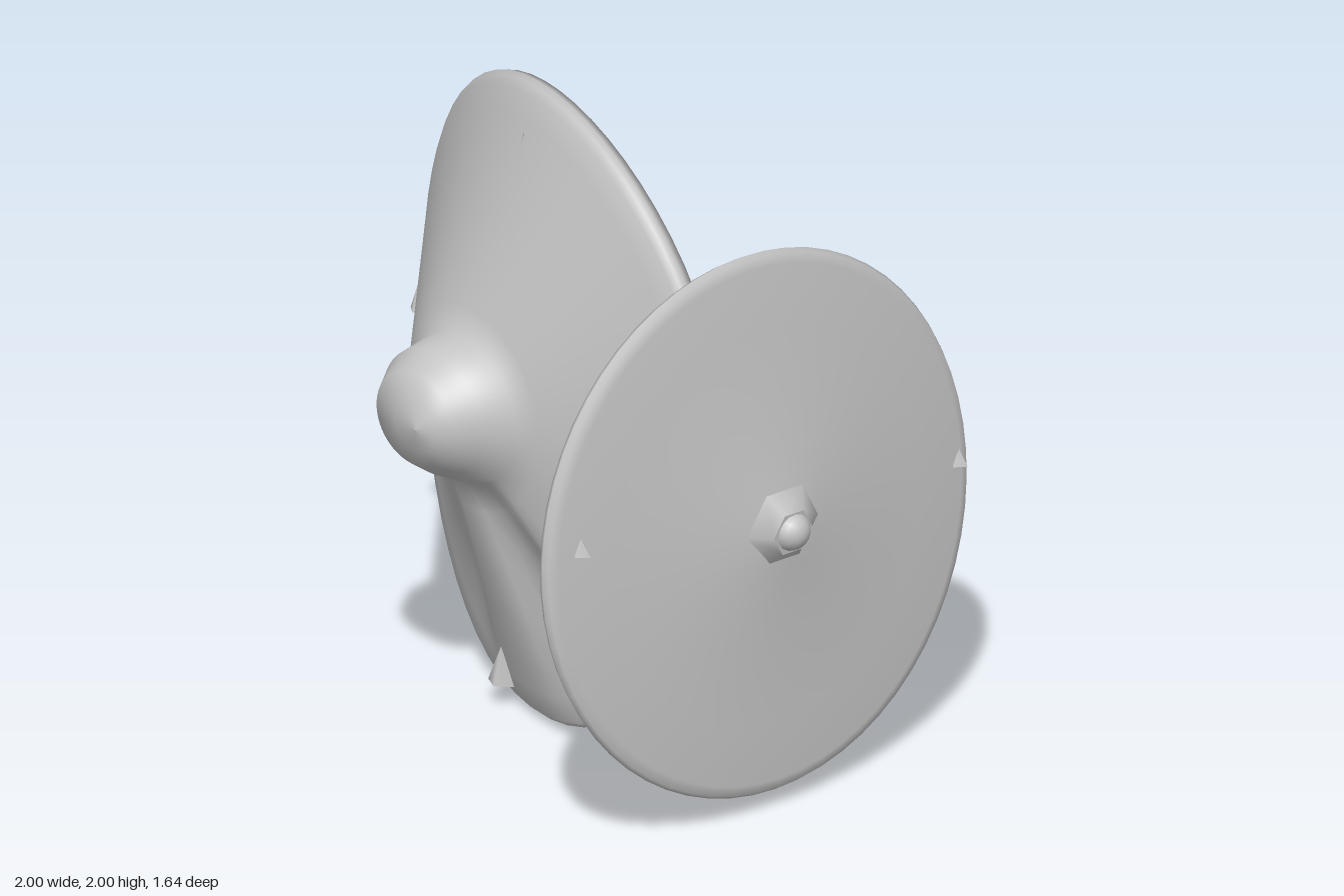
import * as THREE from 'three';

const SIDES = 60;

// Joins rings of points, from the front tip round the rim to the middle of the back
function loft(rings, point) {
  const pos = [], idx = [];
  rings.forEach((ring, i) => {
    for (let j = 0; j < SIDES; j++) {
      const a = (j / SIDES) * Math.PI * 2;
      pos.push(...point(ring, Math.cos(a), Math.sin(a), a));
      if (i === rings.length - 1) continue;
      const k = (j + 1) % SIDES, r0 = i * SIDES, r1 = r0 + SIDES;
      idx.push(r0 + j, r1 + j, r1 + k, r0 + j, r1 + k, r0 + k);
    }
  });
  const g = new THREE.BufferGeometry();
  g.setAttribute('position', new THREE.Float32BufferAttribute(pos, 3));
  g.setIndex(idx);
  g.computeVertexNormals();
  return g;
}

// How far a direction lies inside the hollows between the ribs, from 0 to 1
function hollow(angle) {
  const deg = THREE.MathUtils.radToDeg(angle);
  const within = (from, to) => THREE.MathUtils.smoothstep(deg, from, from + 14)
    * (1 - THREE.MathUtils.smoothstep(deg, to - 14, to));
  return within(186, 263) + within(277, 312);
}

export function createModel() {
  const model = new THREE.Group();
  const metal = new THREE.MeshStandardMaterial({ color: 0xc4c4c4 });
  const add = (name, geometry, x = 0, y = 0, z = 0) => {
    const m = new THREE.Mesh(geometry, metal);
    m.name = name;
    m.position.set(x, y, z);
    model.add(m);
    return m;
  };

  // Large bent dish: [centre x, centre y, radius x, radius y, z, slope in x, bend, slope in y, hollow]
  const large = [
    [-0.21, 1.06, 0.001, 0.001, 0.375, 0, 0, 0, 0],
    [-0.22, 1.06, 0.08, 0.08, 0.36, 0, 0, 0, 0],
    [-0.26, 1.06, 0.16, 0.15, 0.315, 0.015, 0, 0, 0],
    [-0.25, 1.06, 0.21, 0.2, 0.245, 0.025, 0, 0, 0],
    [-0.215, 1.05, 0.25, 0.235, 0.15, 0.05, 0, 0, 0],
  ];
  const base = large[4], lip = [-0.13, 1, 0.845, 0.975, -0.1, 0.35, -0.15, -0.03, 0];
  for (const f of [0.12, 0.3, 0.5, 0.7, 0.9]) {
    const ring = base.map((v, i) => v + (lip[i] - v) * f);
    ring[8] = 0.22 * f * (1 - f);
    large.push(ring);
  }
  large.push(lip,
    [-0.13, 1, 0.865, 0.995, -0.125, 0.36, -0.15, -0.03, 0],
    [-0.13, 1, 0.87, 1, -0.15, 0.36, -0.15, -0.03, 0],
    [-0.13, 1, 0.858, 0.988, -0.185, 0.36, -0.15, -0.03, 0]);
  // Hollow back of the large dish
  for (const f of [0.9, 0.7, 0.5, 0.25, 0.001]) {
    large.push([-0.13, 1, 0.858 * f, 0.988 * f,
      -0.19 + 0.2 * (1 - f * f), 0.36 * f, -0.15 * f * f, -0.03 * f, 0]);
  }
  add('largeDish', loft(large, ([cx, cy, rx, ry, z, s, b, d, h], c, n, a) =>
    [cx + rx * c, cy + ry * n, z + s * c + b * c * c + d * n - h * hollow(a)]));

  // Small dish facing left, its top and bottom bent outward: [radius, distance along its axis]
  const onSmall = (y, z, w) =>
    [0.8 - 0.18 * z - 0.075 * (y - 0.91) + 0.025 * (y - 0.91) ** 2 + w, y, z];
  const small = [[0.001, 0.11], [0.14, 0.095], [0.35, 0.062], [0.6, 0.035], [0.78, 0.015],
    [0.81, 0.005], [0.82, -0.01], [0.81, -0.028], [0.78, -0.038],
    [0.6, -0.052], [0.3, -0.062], [0.001, -0.065]];
  add('smallDish', loft(small, ([r, w], c, n) => onSmall(0.91 + r * 1.04 * n, -r * c, w)));

  // Six-sided boss and round knob of the small dish
  const boss = add('smallBoss', new THREE.CylinderGeometry(0.075, 0.14, 0.05, 6),
    ...onSmall(0.92, 0, 0.122));
  boss.rotation.set(0, -0.18, -Math.PI / 2 - 0.075);
  const knob = add('smallKnob', new THREE.SphereGeometry(0.062, 16, 12), 0.93, 0.92, 0);
  knob.rotation.z = -Math.PI / 2;

  // Little pointed clips near the rims
  const clip = (name, p, sx, sy, sz) =>
    add(name, new THREE.ConeGeometry(1, 2, 4), ...p).scale.set(sx, sy, sz);
  clip('topClip', [-0.18, 1.83, -0.1], 0.015, 0.05, 0.03);
  clip('bottomClip', [-0.24, 0.13, -0.07], 0.05, 0.06, 0.035);
  clip('sideClip', [-0.94, 0.98, -0.54], 0.03, 0.045, 0.03);
  clip('frontClip', onSmall(1.04, 0.7, 0.03), 0.035, 0.025, 0.03);
  clip('backClip', onSmall(0.91, -0.76, 0.03), 0.03, 0.025, 0.03);
  return model;
}
